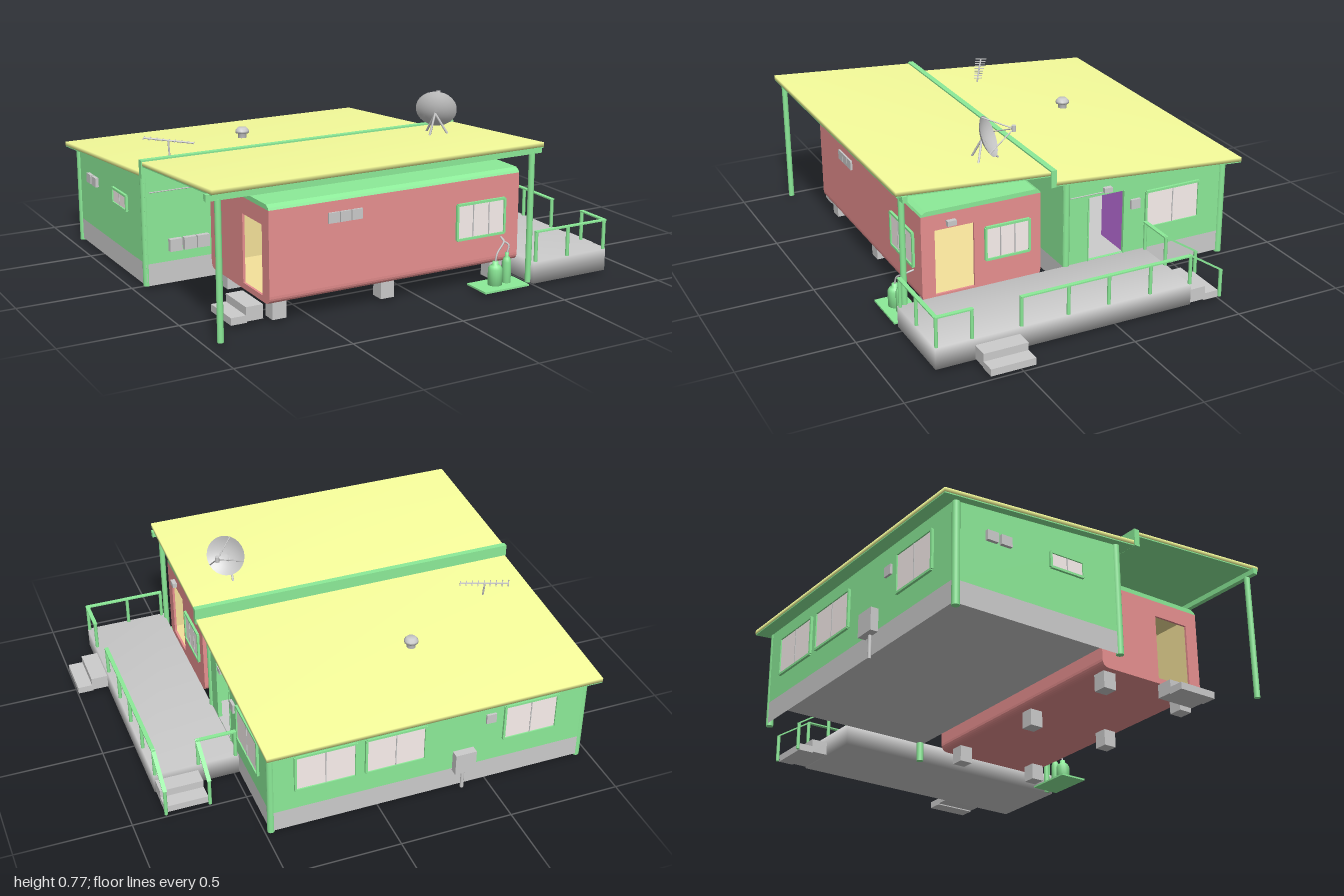
import * as THREE from 'three';
import { mergeVertices } from 'three/addons/utils/BufferGeometryUtils.js';

const mat = (color, side = THREE.DoubleSide) => new THREE.MeshStandardMaterial({ color, side });
const GREY = mat(0xcccccc), SKIRT = mat(0xcccccc, THREE.FrontSide), GREEN = mat(0x8ceb98), PINK = mat(0xe89090);
const ROOF = mat(0xf8ff9c), GLASS = mat(0xfaf0ee), CREAM = mat(0xf5e29a), BLUE = mat(0xc8e6f0), PURPLE = mat(0xc070e0);
const V = (x, y, z) => new THREE.Vector3(x, y, z);

export function createModel() {
  const root = new THREE.Group();
  const group = (name, parent = root) => {
    const g = new THREE.Group();
    g.name = name;
    parent.add(g);
    return g;
  };
  const add = (parent, name, geo, m) => {
    const mesh = new THREE.Mesh(geo, m);
    mesh.name = name;
    parent.add(mesh);
    return mesh;
  };
  // box given by its limits
  const box = (p, name, m, x0, x1, y0, y1, z0, z1) => {
    const b = add(p, name, new THREE.BoxGeometry(x1 - x0, y1 - y0, z1 - z0), m);
    b.position.set((x0 + x1) / 2, (y0 + y1) / 2, (z0 + z1) / 2);
    return b;
  };
  // round bar between two points
  const rod = (p, name, m, a, b, r, sides = 10) => {
    const c = add(p, name, new THREE.CylinderGeometry(r, r, a.distanceTo(b), sides), m);
    c.position.copy(a).lerp(b, 0.5);
    c.quaternion.setFromUnitVectors(V(0, 1, 0), b.clone().sub(a).normalize());
    return c;
  };
  // shared corner normals, for softly shaded slabs
  const soften = (mesh) => {
    mesh.geometry.deleteAttribute('normal');
    mesh.geometry.deleteAttribute('uv');
    mesh.geometry = mergeVertices(mesh.geometry);
    mesh.geometry.computeVertexNormals();
  };
  const poly = (pts) => new THREE.Shape(pts.map(([z, y]) => new THREE.Vector2(z, y)));
  const rect = (z0, z1, y0, y1) => poly([[z0, y0], [z1, y0], [z1, y1], [z0, y1]]);
  // profile in (z, y) extruded along x
  const extrudeX = (p, name, m, shape, x0, x1) => {
    const g = new THREE.ExtrudeGeometry(shape, { depth: x1 - x0, bevelEnabled: false, curveSegments: 6 });
    g.rotateY(-Math.PI / 2).translate(x1, 0, 0);
    return add(p, name, g, m);
  };
  // framed window facing the direction of angle ry
  const win = (p, x, y, z, ry, w, h, panes) => {
    const g = group('window', p);
    g.position.set(x, y, z);
    g.rotation.y = ry;
    box(g, 'glass', GLASS, -w / 2, w / 2, -h / 2, h / 2, -0.022, 0.003);
    for (const s of [-1, 1]) {
      box(g, 'frameRail', GREEN, -w / 2, w / 2, s * h / 2 - 0.005, s * h / 2 + 0.005, -0.004, 0.009);
      box(g, 'frameStile', GREEN, s * w / 2 - 0.005, s * w / 2 + 0.005, -h / 2, h / 2, -0.004, 0.009);
    }
    for (let i = 1; i < panes; i++) {
      const u = -w / 2 + (w * i) / panes;
      box(g, 'mullion', GREY, u - 0.002, u + 0.002, -h / 2, h / 2, -0.004, 0.006);
    }
  };
  const RIGHT = Math.PI / 2, LEFT = -Math.PI / 2, BACK = Math.PI;

  // roofs with painted undersides
  const roofs = group('roofs');
  soften(extrudeX(roofs, 'frontRoof', ROOF, poly([[0.81, 0.606], [0.81, 0.625], [0.11, 0.574], [0.11, 0.558]]), -0.985, 0.512));
  extrudeX(roofs, 'frontSoffit', GREEN, poly([[0.809, 0.601], [0.809, 0.606], [0.11, 0.558], [0.11, 0.553]]), -0.984, 0.511);
  soften(extrudeX(roofs, 'backRoof', ROOF, poly([[0.11, 0.511], [0.11, 0.53], [-0.82, 0.458], [-0.82, 0.44]]), -0.985, 0.512));
  extrudeX(roofs, 'backSoffit', GREEN, poly([[0.109, 0.506], [0.109, 0.511], [-0.819, 0.44], [-0.819, 0.435]]), -0.984, 0.511);
  box(roofs, 'stepFascia', GREEN, -0.99, 0.517, 0.505, 0.582, 0.103, 0.128);
  box(roofs, 'frontBeam', GREEN, -1, 0.52, 0.575, 0.602, 0.765, 0.787);

  // house: raised floor on an open skirt, four walls, interior
  const house = group('house');
  box(house, 'floor', GREY, -0.95, 0.48, 0.102, 0.111, -0.755, 0.05);
  for (const [x, z, ry, w] of [[-0.235, 0.05, 0, 1.43], [-0.235, -0.755, BACK, 1.43], [0.48, -0.3525, RIGHT, 0.805], [-0.95, -0.3525, LEFT, 0.805]]) {
    const skirt = add(house, 'skirt', new THREE.PlaneGeometry(w, 0.095), SKIRT);
    skirt.position.set(x, 0.0625, z);
    skirt.rotation.y = ry;
  }
  const side = () => poly([[-0.755, 0.11], [0.05, 0.11], [0.05, 0.502], [-0.755, 0.441]]);
  const doorWall = side();
  doorWall.holes.push(rect(-0.245, -0.07, 0.111, 0.405));
  extrudeX(house, 'rightWall', GREEN, doorWall, 0.465, 0.48);
  extrudeX(house, 'leftWall', GREEN, side(), -0.95, -0.937);
  box(house, 'frontWall', GREEN, -0.95, 0.48, 0.11, 0.5, 0.037, 0.05);
  box(house, 'backWall', GREEN, -0.95, 0.48, 0.11, 0.441, -0.755, -0.742);
  box(house, 'innerWall', BLUE, -0.936, -0.933, 0.111, 0.44, -0.74, 0.03);
  box(house, 'partition', PURPLE, 0.2, 0.21, 0.111, 0.45, -0.14, 0.03);
  box(house, 'openDoor', PURPLE, 0.29, 0.465, 0.113, 0.404, -0.255, -0.246);
  for (const x of [-0.945, 0.475]) {
    rod(house, 'cornerPost', GREEN, V(x, 0.015, 0.035), V(x, 0.5, 0.035), 0.016, 12);
    rod(house, 'cornerPost', GREEN, V(x, 0.006, -0.742), V(x, 0.44, -0.742), 0.016, 12);
  }
  for (const z of [-0.245, -0.07]) box(house, 'doorJamb', GREEN, 0.478, 0.484, 0.11, 0.405, z - 0.003, z + 0.003);
  win(house, 0.482, 0.293, -0.485, RIGHT, 0.265, 0.17, 2);
  win(house, -0.952, 0.328, -0.225, LEFT, 0.16, 0.065, 2);
  for (const [x, w] of [[0.24, 0.265], [-0.07, 0.265], [-0.69, 0.245]]) win(house, x, 0.293, -0.757, BACK, w, 0.17, 2);

  // small wall fittings: vents, lamps, cables, boxes
  const fittings = group('wallFittings');
  const vent = (x0, x1, y0, y1, z0, z1) => box(fittings, 'vent', GREY, x0, x1, y0, y1, z0, z1);
  vent(0.478, 0.492, 0.313, 0.357, -0.32, -0.275);
  vent(-0.525, -0.48, 0.313, 0.357, -0.765, -0.75);
  for (const z of [-0.61, -0.545]) vent(-0.965, -0.948, 0.315, 0.357, z, z + 0.05);
  for (const x of [-0.44, -0.388, -0.335]) vent(x, x + 0.048, 0.387, 0.43, 0.69, 0.704);
  box(fittings, 'doorLamp', GREY, 0.478, 0.5, 0.42, 0.442, -0.175, -0.138);
  box(fittings, 'doorLamp', GREY, 0.472, 0.495, 0.42, 0.442, 0.545, 0.585);
  rod(fittings, 'cable', GREY, V(0.483, 0.42, 0.02), V(0.483, 0.42, -0.14), 0.0025, 6);
  rod(fittings, 'cable', GREY, V(-0.93, 0.42, 0.053), V(-0.74, 0.42, 0.053), 0.0025, 6);
  for (const x of [-0.85, -0.785, -0.725]) box(fittings, 'wallUnit', GREY, x, x + 0.055, 0.157, 0.21, 0.048, 0.073);
  box(fittings, 'meterBox', GREY, -0.43, -0.335, 0.1, 0.2, -0.79, -0.754);
  rod(fittings, 'meterPipe', GREY, V(-0.383, 0, -0.763), V(-0.383, 0.1, -0.763), 0.008);

  // caravan: open-ended shell, end walls with doorways, cream lining
  const van = group('caravan');
  const section = () => {
    const s = new THREE.Shape();
    s.moveTo(0.19, 0.09);
    s.lineTo(0.66, 0.09);
    s.quadraticCurveTo(0.695, 0.09, 0.695, 0.125);
    s.lineTo(0.695, 0.475);
    s.lineTo(0.155, 0.475);
    s.lineTo(0.155, 0.125);
    s.quadraticCurveTo(0.155, 0.09, 0.19, 0.09);
    return s;
  };
  const shell = section();
  shell.holes.push(rect(0.17, 0.68, 0.112, 0.465));
  extrudeX(van, 'shell', PINK, shell, -0.69, 0.465);
  for (const x of [-0.7, 0.465]) {
    const end = section();
    end.holes.push(rect(0.46, 0.635, 0.115, 0.405));
    extrudeX(van, 'endWall', PINK, end, x, x + 0.01);
  }
  const lining = rect(0.17, 0.68, 0.112, 0.465);
  lining.holes.push(rect(0.173, 0.677, 0.114, 0.462));
  extrudeX(van, 'lining', CREAM, lining, -0.69, 0.465);
  extrudeX(van, 'vanRoof', GREEN, poly([[0.695, 0.475], [0.69, 0.485], [0.672, 0.495], [0.178, 0.495], [0.16, 0.485], [0.155, 0.475]]), -0.7, 0.475);
  win(van, 0.283, 0.3, 0.697, 0, 0.235, 0.15, 3);
  win(van, 0.477, 0.298, 0.31, RIGHT, 0.2, 0.145, 3);
  for (const x of [-0.64, -0.145, 0.39])
    for (const z of [0.215, 0.63]) box(van, 'stump', GREY, x - 0.031, x + 0.031, 0.015, 0.1, z - 0.031, z + 0.031);

  // porch posts
  for (const x of [-0.948, 0.477]) rod(root, 'porchPost', GREEN, V(x, 0.015, 0.776), V(x, 0.58, 0.776), 0.013, 12);

  // deck and three flights of steps
  const deck = group('deck');
  soften(box(deck, 'platform', GREY, 0.482, 0.86, 0.015, 0.11, -0.35, 0.81));
  const flight = (x, z, ry, w) => {
    const g = group('steps', deck);
    g.position.set(x, 0, z);
    g.rotation.y = ry;
    box(g, 'upperStep', GREY, -w / 2, w / 2, 0.02, 0.08, 0, 0.075);
    box(g, 'lowerStep', GREY, -w / 2, w / 2, 0.015, 0.046, 0.07, 0.14);
  };
  flight(0.86, 0.543, RIGHT, 0.195);
  flight(0.76, -0.35, BACK, 0.19);
  flight(-0.7, 0.545, LEFT, 0.185);

  // railings with flat handrails: a path of post tops, each with its foot height
  const railing = (pts) => {
    const g = group('railing', deck);
    pts.forEach(([x, top, z, foot], i) => {
      rod(g, 'railPost', GREEN, V(x, foot, z), V(x, top, z), 0.008, 8);
      if (!i) return;
      const from = V(...pts[i - 1].slice(0, 3)), to = V(x, top, z);
      const rail = add(g, 'handrail', new THREE.BoxGeometry(0.018, 0.006, from.distanceTo(to) + 0.01), GREEN);
      rail.position.copy(from).lerp(to, 0.5);
      rail.lookAt(to);
    });
  };
  const H = 0.24;
  railing([[0.495, H, 0.802, 0.11], [0.66, H, 0.802, 0.11], [0.853, H, 0.802, 0.11], [0.853, H, 0.65, 0.11]]);
  railing([...[0.435, 0.225, 0.04, -0.155, -0.347].map((z) => [0.853, H, z, 0.11]), [0.853, 0.14, -0.5, 0.015]]);
  railing([[0.495, H, -0.347, 0.11], [0.661, H, -0.347, 0.11], [0.661, 0.14, -0.5, 0.015]]);

  // gas bottles on a pad, with hoses
  const gas = group('gasBottles');
  box(gas, 'pad', GREEN, 0.235, 0.455, 0.012, 0.02, 0.68, 0.815);
  for (const [x, r, h] of [[0.323, 0.031, 0.105], [0.381, 0.019, 0.135]]) {
    const prof = [[0, 0], [r, 0.004], [r, h * 0.7], [r * 0.75, h * 0.82], [r * 0.4, h * 0.88], [r * 0.4, h], [0, h]];
    const b = add(gas, 'bottle', new THREE.LatheGeometry(prof.map(([a, c]) => new THREE.Vector2(a, c)), 16), GREEN);
    b.position.set(x, 0.02, 0.755);
    const hose = new THREE.CatmullRomCurve3([V(x, 0.015 + h, 0.755), V(x + 0.01, 0.05 + h, 0.752), V(0.385, 0.195, 0.725), V(0.39, 0.205, 0.695)]);
    add(gas, 'hose', new THREE.TubeGeometry(hose, 16, 0.004, 6), GREY);
  }

  // satellite dish: bowl, feed arms, legs
  const dish = group('satelliteDish');
  const centre = V(0.298, 0.687, 0.32), feed = V(0.37, 0.735, 0.226);
  const bowlPts = [0, 0.2, 0.4, 0.6, 0.8, 1].map((t) => new THREE.Vector2(0.089 * t, 0.028 * t * t - 0.014));
  const bowl = add(dish, 'bowl', new THREE.LatheGeometry(bowlPts, 24), GREY);
  bowl.position.copy(centre);
  bowl.quaternion.setFromUnitVectors(V(0, 1, 0), feed.clone().sub(centre).normalize());
  for (const [u, v] of [[0.085, 0], [-0.06, 0.06], [-0.06, -0.06]]) {
    const rim = V(u, 0.014, v).applyQuaternion(bowl.quaternion).add(centre);
    rod(dish, 'feedArm', GREY, rim, feed, 0.003, 6);
  }
  rod(dish, 'feedHorn', GREY, feed.clone().add(V(0, -0.012, 0)), feed.clone().add(V(0, 0.014, 0)), 0.01, 8);
  for (const [x, z] of [[0.24, 0.36], [0.33, 0.37], [0.29, 0.26]])
    rod(dish, 'leg', GREY, V(x, 0.585, z), centre.clone().add(V(-0.012, -0.01, 0.012)), 0.005, 6);

  // aerial: mast, sloping boom and cross elements
  const aerial = group('aerial');
  const a0 = V(-0.845, 0.59, -0.2), a1 = V(-0.66, 0.568, -0.095);
  rod(aerial, 'mast', GREY, V(-0.755, 0.5, -0.135), V(-0.755, 0.579, -0.148), 0.004, 6);
  rod(aerial, 'boom', GREY, a0, a1, 0.004, 6);
  const across = V(-0.5, 0, 0.87);
  for (let i = 0; i < 9; i++) {
    const c = a0.clone().lerp(a1, i / 8), half = 0.027 - 0.0012 * i;
    rod(aerial, 'element', GREY, c.clone().addScaledVector(across, half), c.clone().addScaledVector(across, -half), 0.0025, 6);
  }

  // roof vent
  const flue = [[0.02, 0.48], [0.02, 0.515], [0.031, 0.517], [0.031, 0.528], [0.02, 0.541], [0, 0.541]];
  const fv = add(root, 'roofVent', new THREE.LatheGeometry(flue.map(([r, y]) => new THREE.Vector2(r, y)), 12), GREY);
  fv.position.set(-0.303, 0, -0.365);

  return root;
}
